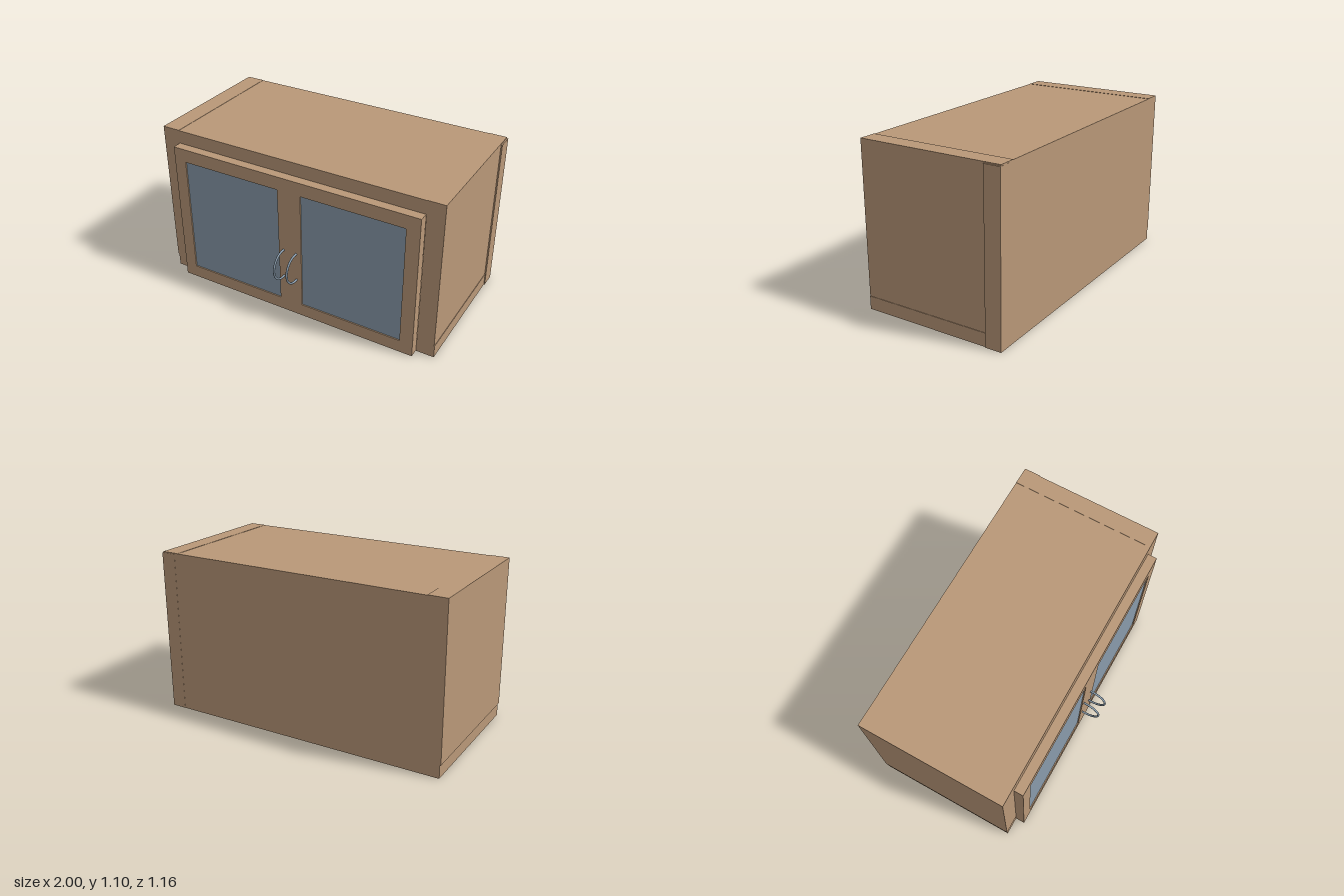
import * as THREE from 'three';

export function createModel() {
  const group = new THREE.Group();
  const wood = new THREE.MeshStandardMaterial({ color: 0xb99878 });
  wood.name = 'wood';
  const glass = new THREE.MeshStandardMaterial({ color: 0x899bab });
  glass.name = 'blueGrey';

  const add = (name, geometry, material) => {
    const mesh = new THREE.Mesh(geometry, material);
    mesh.name = name;
    group.add(mesh);
    return mesh;
  };
  // box given by its lower and upper corners
  const box = (name, [x0, y0, z0], [x1, y1, z1], material = wood) =>
    add(name, new THREE.BoxGeometry(x1 - x0, y1 - y0, z1 - z0), material)
      .position.set((x0 + x1) / 2, (y0 + y1) / 2, (z0 + z1) / 2);

  // carcass panels
  const back = -0.577, front = 0.395;
  box('base', [-0.993, 0, back], [0.994, 0.088, front - 0.001]);
  box('rightSide', [-1, 0.088, back], [-0.875, 1.095, front]);
  box('leftSide', [0.875, 0.088, back], [0.991, 1.095, front]);
  box('topPanel', [-0.875, 0.99, back], [0.875, 1.093, front]);
  box('backPanel', [-0.875, 0.088, back], [0.875, 0.99, -0.47]);
  box('cornerPost', [0.9, 0, back - 0.001], [1, 1.087, -0.47]);

  // door frame with two openings
  const rect = (Type, x0, y0, x1, y1) => new Type([
    new THREE.Vector2(x0, y0), new THREE.Vector2(x1, y0),
    new THREE.Vector2(x1, y1), new THREE.Vector2(x0, y1)]);
  const openings = [[-0.79, -0.085], [0.08, 0.785]];
  const frame = rect(THREE.Shape, -0.876, 0.003, 0.874, 1.003);
  for (const [x0, x1] of openings) frame.holes.push(rect(THREE.Path, x0, 0.09, x1, 0.912));
  add('doorFrame', new THREE.ExtrudeGeometry(frame, { depth: 0.062, bevelEnabled: false }), wood)
    .position.z = front;

  // glass panes set just behind the frame face
  for (const [x0, x1] of openings) box('glassPane', [x0, 0.09, 0.44], [x1, 0.912, 0.449], glass);

  // bowed handles with short straight ends
  for (const x of [-0.051, 0.043]) {
    const points = [new THREE.Vector3(x, 0.28, 0.45)];
    for (let i = 0; i <= 16; i++) {
      const a = -Math.PI / 2 + (Math.PI * i) / 16;
      points.push(new THREE.Vector3(x, 0.38 + 0.1 * Math.sin(a), 0.473 + 0.1 * Math.cos(a)));
    }
    points.push(new THREE.Vector3(x, 0.48, 0.45));
    add('handle', new THREE.TubeGeometry(new THREE.CatmullRomCurve3(points), 40, 0.007, 12), glass);
  }
  return group;
}
